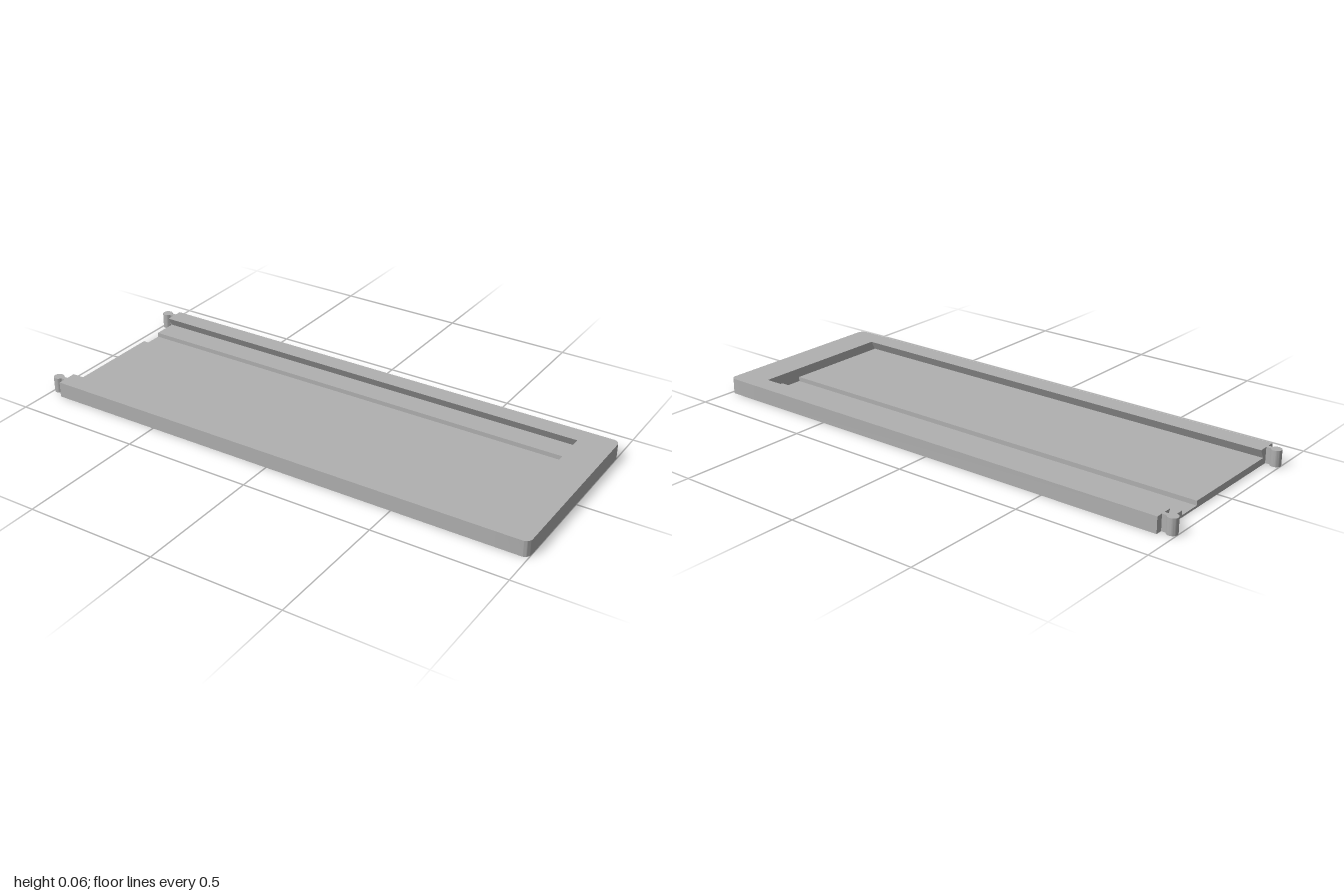
import * as THREE from 'three';
import { toCreasedNormals } from 'three/addons/utils/BufferGeometryUtils.js';

const H = 0.06;      // plate thickness
const W = 0.367;     // half width
const LEFT = -0.945; // open end of the tray
const STOP = 0.87;   // closed end of the recess

export function createModel() {
  const model = new THREE.Group();
  const grey = new THREE.MeshStandardMaterial({ color: 0xb0b0b0 });
  grey.name = 'plain grey';

  const add = (name, geometry) => {
    const mesh = new THREE.Mesh(toCreasedNormals(geometry, 0.6), grey);
    mesh.name = name;
    model.add(mesh);
    return mesh;
  };

  // Tray: one cross-section (z, y) with undercut rims and a deeper channel, run along x
  const section = [
    [-W, 0], [-W, H], [-0.293, H], [-0.312, 0.025], [-0.22, 0.025], [-0.22, 0.008],
    [-0.13, 0.008], [-0.13, 0.025], [0.306, 0.025], [0.287, H], [W, H], [W, 0],
  ];
  const trayShape = new THREE.Shape(section.map(([z, y]) => new THREE.Vector2(-z, y)));
  const tray = new THREE.ExtrudeGeometry(trayShape, { depth: STOP - LEFT, bevelEnabled: false });
  tray.rotateY(Math.PI / 2).translate(LEFT, 0, 0);
  add('tray', tray);

  // Solid end with rounded outer corners
  const r = 0.025;
  const endShape = new THREE.Shape();
  endShape.moveTo(STOP, -W);
  endShape.lineTo(1 - r, -W);
  endShape.absarc(1 - r, -W + r, r, -Math.PI / 2, 0);
  endShape.absarc(1 - r, W - r, r, 0, Math.PI / 2);
  endShape.lineTo(STOP, W);
  endShape.closePath();
  const end = new THREE.ExtrudeGeometry(endShape, { depth: H, bevelEnabled: false, curveSegments: 8 });
  add('closedEnd', end.rotateX(-Math.PI / 2));

  // Two round connector tabs on narrow necks
  for (const [side, z] of [['back', -0.333], ['front', 0.331]]) {
    const knob = add(side + 'ConnectorKnob', new THREE.CylinderGeometry(0.02, 0.02, H, 20));
    knob.position.set(-0.98, H / 2, z);
    const neck = add(side + 'ConnectorNeck', new THREE.BoxGeometry(0.04, H, 0.016));
    neck.position.set(-0.957, H / 2, z);
  }
  return model;
}
